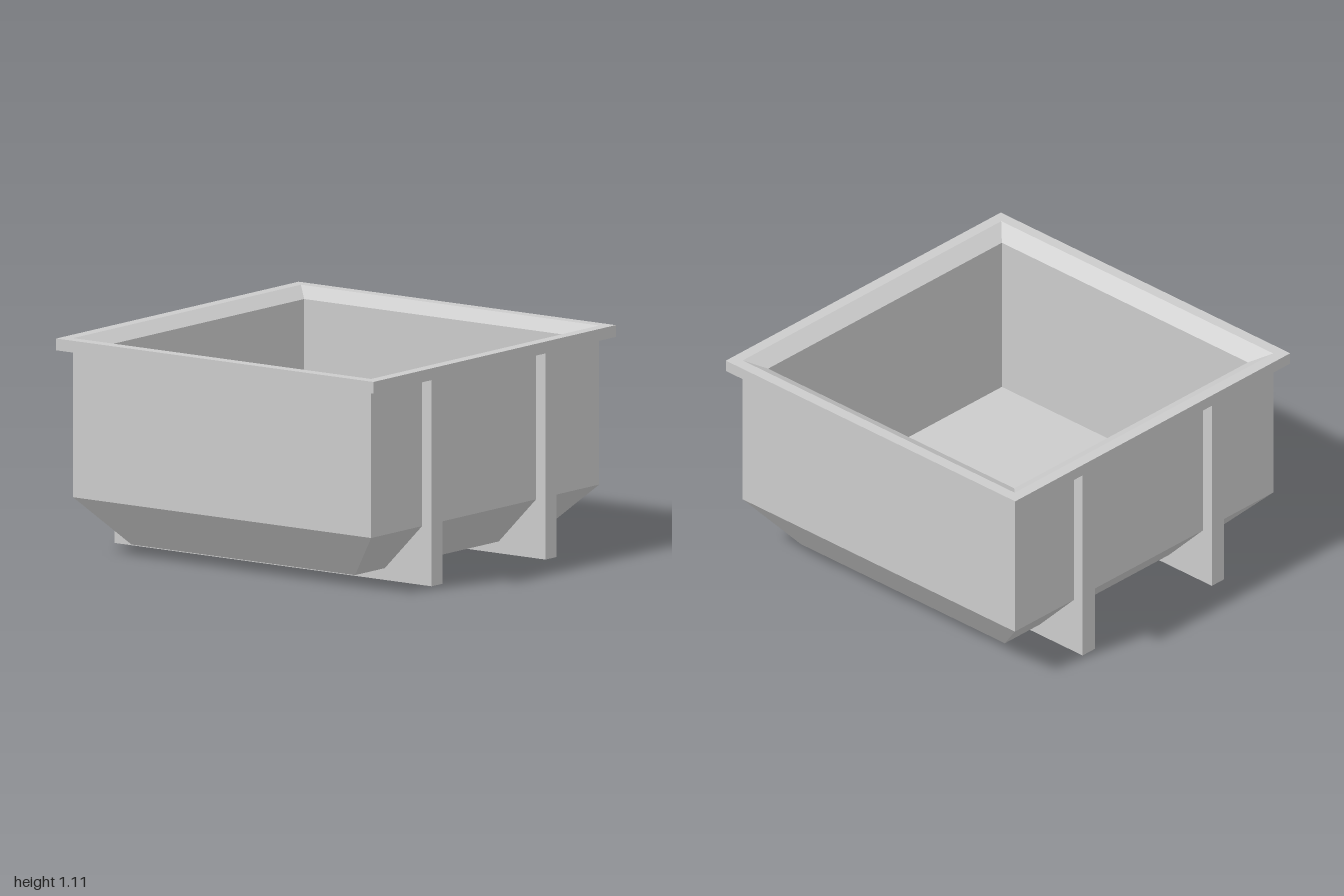
import * as THREE from 'three';

const material = new THREE.MeshStandardMaterial({ color: 0xcccccc, flatShading: true });

// Joins rectangular rings [halfWidth, halfDepth, y]; optionally closes the first or last ring.
function ringSurface(rings, capFirst = false, capLast = false) {
  const positions = [];
  const quad = (a, b, c, d) => positions.push(...a, ...b, ...c, ...a, ...c, ...d);
  const corners = rings.map(([x, z, y]) => [[-x, y, z], [x, y, z], [x, y, -z], [-x, y, -z]]);
  for (let r = 0; r < corners.length - 1; r++) {
    const a = corners[r], b = corners[r + 1];
    for (let i = 0; i < 4; i++) {
      const j = (i + 1) % 4;
      quad(a[i], a[j], b[j], b[i]);
    }
  }
  if (capFirst) quad(...[...corners[0]].reverse());
  if (capLast) quad(...corners[corners.length - 1]);
  const geometry = new THREE.BufferGeometry();
  geometry.setAttribute('position', new THREE.Float32BufferAttribute(positions, 3));
  geometry.computeVertexNormals();
  return geometry;
}

export function createModel() {
  const model = new THREE.Group();
  model.name = 'openTub';
  const add = (name, geometry) => {
    const mesh = new THREE.Mesh(geometry, material);
    mesh.name = name;
    model.add(mesh);
  };

  // Outer hull: tapered underside, upright walls
  add('outerHull', ringSurface([
    [0.765, 0.705, 0.06], [0.94, 0.94, 0.3], [0.94, 0.94, 1.05],
  ], true));

  // Overhanging rim with a bevel leading inwards
  add('rim', ringSurface([
    [0.94, 0.94, 1.05], [1, 1, 1.05], [1, 1, 1.11], [0.94, 0.94, 1.11], [0.85, 0.85, 1.06],
  ]));

  // Inside walls and floor
  add('basinLining', ringSurface([[0.85, 0.85, 1.06], [0.85, 0.85, 0.22]], false, true));

  // Two U-shaped cradle ribs that hug the hull and serve as feet
  const profile = new THREE.Shape([
    [-1, 0], [1, 0], [1, 1.05], [0.94, 1.05], [0.94, 0.3], [0.705, 0.06],
    [-0.705, 0.06], [-0.94, 0.3], [-0.94, 1.05], [-1, 1.05],
  ].map(([z, y]) => new THREE.Vector2(z, y)));
  for (const [name, x] of [['rightRib', -0.52], ['leftRib', 0.42]]) {
    const rib = new THREE.ExtrudeGeometry(profile, { depth: 0.09, bevelEnabled: false });
    add(name, rib.rotateY(Math.PI / 2).translate(x, 0, 0));
  }

  return model;
}
